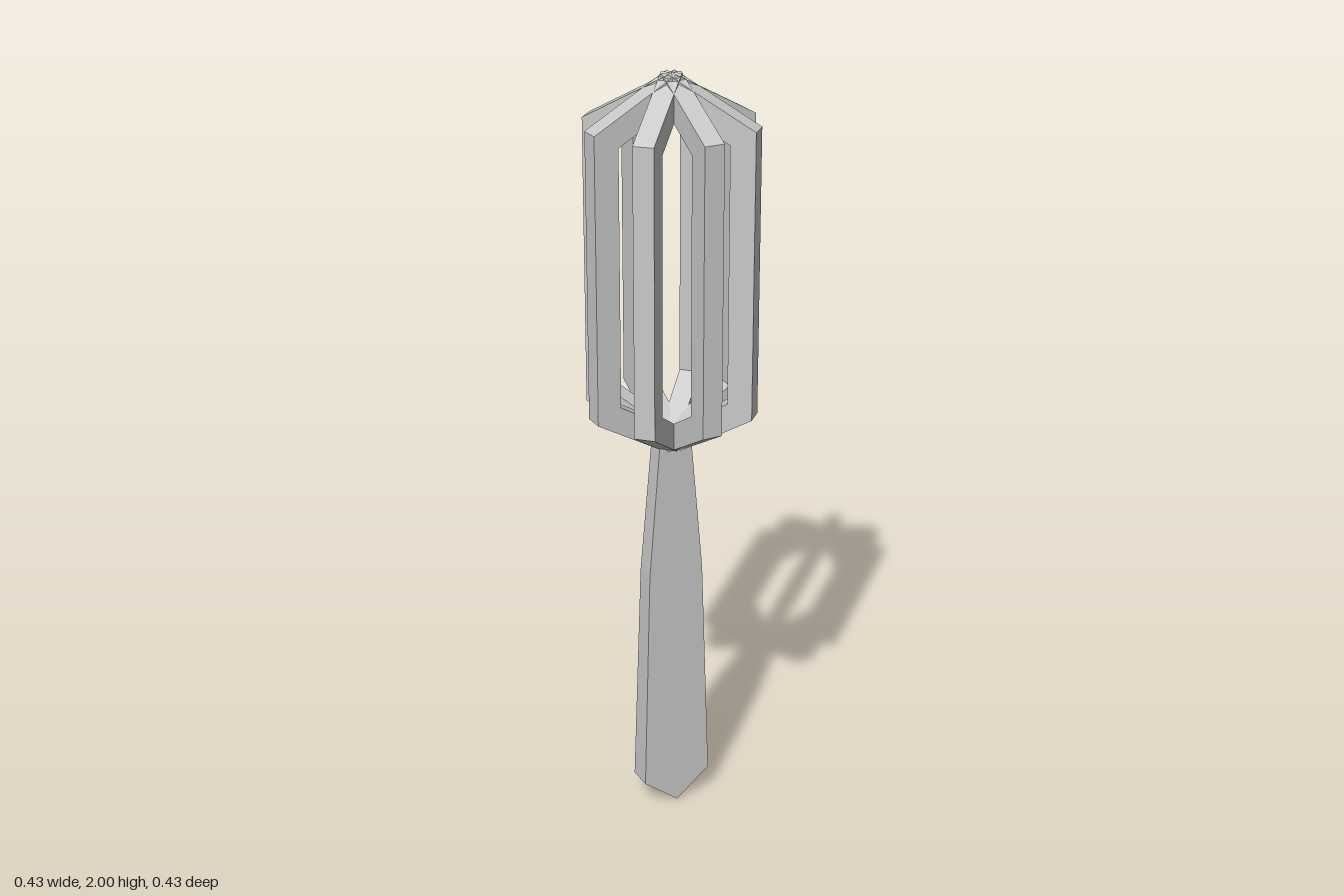
import * as THREE from 'three';

// Flat outline extruded evenly about z = 0
function plate(points, depth) {
  const shape = new THREE.Shape(points.map(([x, y]) => new THREE.Vector2(x, y)));
  const geometry = new THREE.ExtrudeGeometry(shape, { depth, bevelEnabled: false });
  return geometry.translate(0, 0, -depth / 2);
}

export function createModel() {
  const group = new THREE.Group();
  group.name = 'whisk';
  const metal = new THREE.MeshStandardMaterial({ color: 0xc8c8c8 });
  metal.name = 'light grey metal';

  // Tapered handle with a pointed end, thinner towards the top
  const handleGeometry = plate([
    [0, 0], [0.095, 0.075], [0.076, 0.69], [0.045, 1.05],
    [-0.045, 1.05], [-0.076, 0.69], [-0.095, 0.075],
  ], 2);
  const position = handleGeometry.attributes.position;
  for (let i = 0; i < position.count; i++) {
    const halfDepth = 0.033 - 0.0095 * position.getY(i);
    position.setZ(i, position.getZ(i) * halfDepth);
  }
  handleGeometry.computeVertexNormals();
  const handle = new THREE.Mesh(handleGeometry, metal);
  handle.name = 'handle';
  group.add(handle);

  // Eight bent bars meeting on the axis at both ends
  const barGeometry = plate([
    [0, 1.04], [0.035, 1.04], [0.216, 1.145], [0.216, 1.88], [0, 2],
    [0, 1.93], [0.153, 1.843], [0.153, 1.182], [0, 1.09],
  ], 0.052);
  const cage = new THREE.Group();
  cage.name = 'cage';
  for (let i = 0; i < 8; i++) {
    const bar = new THREE.Mesh(barGeometry, metal);
    bar.name = `cageBar${i + 1}`;
    bar.rotation.y = (i * Math.PI) / 4;
    cage.add(bar);
  }
  group.add(cage);
  return group;
}
